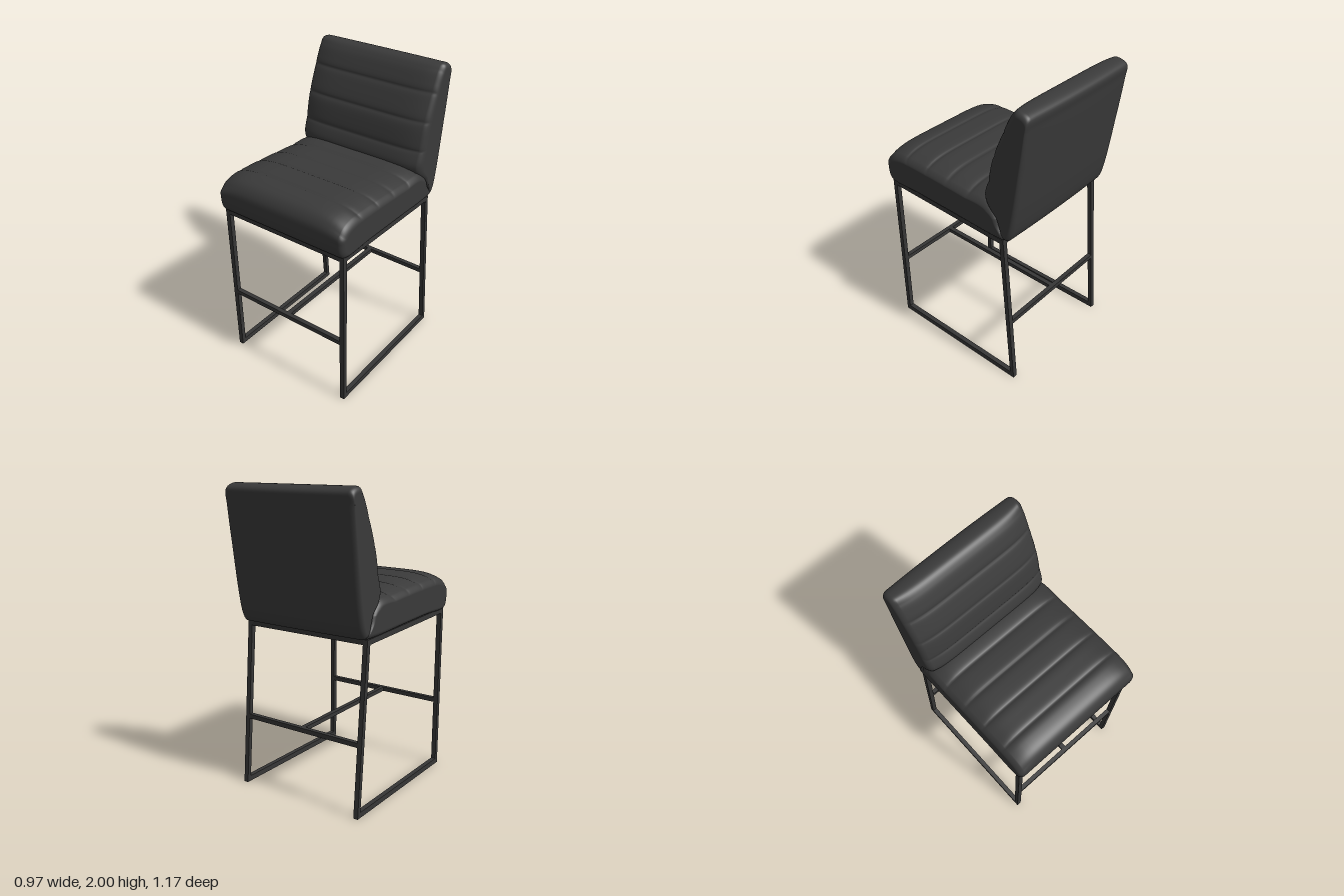
import * as THREE from 'three';

const material = (name, color) => {
  const m = new THREE.MeshStandardMaterial({ color });
  m.name = name;
  return m;
};

// Closed smooth outline from [z, y] control points, clockwise seen with z to the right
function outline(points, count) {
  const curve = new THREE.CatmullRomCurve3(points.map(([z, y]) => new THREE.Vector3(0, y, z)), true, 'centripetal');
  return curve.getSpacedPoints(count).slice(0, count);
}

// Sum of narrow stitched grooves at the given seams
const groove = (v, seams, depth) => seams.reduce((sum, s) => sum + depth * Math.exp(-Math.abs(v - s) / 0.014), 0);

// Cushion: the outline is swept across x, shaped by a rule and rounded in at both ends
function cushion({ points, halfWidth, round, centre, half, shape }) {
  const base = outline(points, 260), n = base.length;
  const stations = [];
  for (let i = 0; i <= 8; i++) {
    const a = (i / 8) * Math.PI / 2;
    stations.push([-halfWidth + round * (1 - Math.cos(a)), round * (1 - Math.sin(a))]);
  }
  const core = halfWidth - round;
  for (let i = 1; i < 24; i++) stations.push([-core + 2 * core * i / 24, 0]);
  for (let i = 8; i >= 0; i--) stations.push([-stations[i][0], stations[i][1]]);

  const pos = [], index = [];
  for (const [x, inset] of stations) {
    for (const p of base) {
      const [z, y] = shape(p.z, p.y, Math.abs(x / halfWidth));
      const cz = centre.z(y);
      pos.push(x, centre.y + (y - centre.y) * (1 - inset / half.y), cz + (z - cz) * (1 - inset / half.z));
    }
  }
  const rings = stations.length;
  for (let i = 0; i < rings - 1; i++) {
    for (let j = 0; j < n; j++) {
      const a = i * n + j, b = i * n + (j + 1) % n;
      index.push(a, b, a + n, b, b + n, a + n);
    }
  }
  // End caps
  const c = pos.length / 3, last = (rings - 1) * n;
  pos.push(-halfWidth, centre.y, centre.z(centre.y), halfWidth, centre.y, centre.z(centre.y));
  for (let j = 0; j < n; j++) {
    const k = (j + 1) % n;
    index.push(c, k, j, c + 1, last + j, last + k);
  }
  const g = new THREE.BufferGeometry();
  g.setAttribute('position', new THREE.Float32BufferAttribute(pos, 3));
  g.setIndex(index);
  g.computeVertexNormals();
  return g;
}

export function createModel() {
  const group = new THREE.Group();
  const leather = material('charcoal upholstery', 0x3a3a3a);
  const metal = material('dark metal', 0x363636);
  const lining = material('black lining', 0x2c2c2c);
  const add = (name, geometry, mat) => {
    const mesh = new THREE.Mesh(geometry, mat);
    mesh.name = name;
    group.add(mesh);
    return mesh;
  };
  const clamp = THREE.MathUtils.clamp;

  // Seat cushion with cross channels and a domed top
  add('seatCushion', cushion({
    points: [[-0.3, 1.36], [-0.1, 1.378], [0.1, 1.392], [0.3, 1.402], [0.46, 1.402], [0.54, 1.375], [0.58, 1.32],
      [0.584, 1.24], [0.575, 1.175], [0.55, 1.143], [0.3, 1.138], [0, 1.128], [-0.36, 1.116], [-0.42, 1.125], [-0.38, 1.2]],
    halfWidth: 0.483, round: 0.035,
    centre: { y: 1.25, z: () => 0.08 }, half: { y: 0.14, z: 0.49 },
    shape: (z, y, t) => {
      const top = clamp((y - 1.25) / 0.1, 0, 1);
      const fade = 1 - 0.8 * t ** 10;
      return [z, y - top * (0.06 * t ** 6 + fade * groove(z, [0.4, 0.22, 0.045, -0.13], 0.011))];
    },
  }), leather);

  // Leaning backrest with channels on its front
  const lean = (y) => -0.39 - 0.12 * (y - 1.2) / 0.75;
  add('backrest', cushion({
    points: [[-0.55, 1.995], [-0.47, 2], [-0.43, 1.965], [-0.39, 1.89], [-0.36, 1.82], [-0.29, 1.64], [-0.255, 1.48],
      [-0.23, 1.38], [-0.25, 1.32], [-0.33, 1.24], [-0.39, 1.17], [-0.41, 1.13], [-0.44, 1.12], [-0.47, 1.16],
      [-0.55, 1.66], [-0.578, 1.9], [-0.584, 1.97]],
    halfWidth: 0.477, round: 0.035,
    centre: { y: 1.56, z: lean }, half: { y: 0.44, z: 0.14 },
    shape: (z, y, t) => {
      const front = clamp((z - lean(y)) / 0.08, 0, 1);
      const back = clamp((lean(y) - z) / 0.08, 0, 1);
      const fade = 1 - 0.8 * t ** 10;
      return [z - front * (0.035 * t ** 6 + fade * groove(y, [1.84, 1.665, 1.48], 0.011)) + back * 0.01 * t * t, y];
    },
  }), leather);

  // Side frames: sled loops of square bar, outlines counter-clockwise
  const toShape = (Type, pts) => new Type(pts.map(([z, y]) => new THREE.Vector2(z, y)));
  const loop = toShape(THREE.Shape, [[-0.405, 1.115], [-0.5, 0], [0.535, 0], [0.548, 1.146]]);
  loop.holes.push(toShape(THREE.Path, [[-0.376, 1.082], [-0.469, 0.036], [0.505, 0.036], [0.516, 1.11]]));
  for (const [name, x] of [['leftSideFrame', 0.466], ['rightSideFrame', -0.434]]) {
    const g = new THREE.ExtrudeGeometry(loop, { depth: 0.032, bevelEnabled: false });
    add(name, g.rotateY(-Math.PI / 2).translate(x, 0, 0), metal);
  }

  // Cross rails under the seat and between the legs
  const rail = (name, y, z, size) =>
    add(name, new THREE.BoxGeometry(0.87, size, size), metal).position.set(0, y, z);
  rail('frontSeatRail', 1.125, 0.531, 0.032);
  rail('backSeatRail', 1.098, -0.389, 0.032);
  rail('frontFootrest', 0.477, 0.525, 0.03);
  rail('backStretcher', 0.466, -0.445, 0.03);

  // Centre stretcher joining the two footrest bars
  const centreBar = add('centreStretcher', new THREE.BoxGeometry(0.032, 0.028, 0.95), metal);
  centreBar.position.set(0, 0.472, 0.04);
  centreBar.rotation.x = -0.011;

  // Lining board below the cushion
  const board = add('seatLining', new THREE.BoxGeometry(0.88, 0.012, 0.91), lining);
  board.position.set(0, 1.122, 0.071);
  board.rotation.x = -0.03;

  return group;
}
